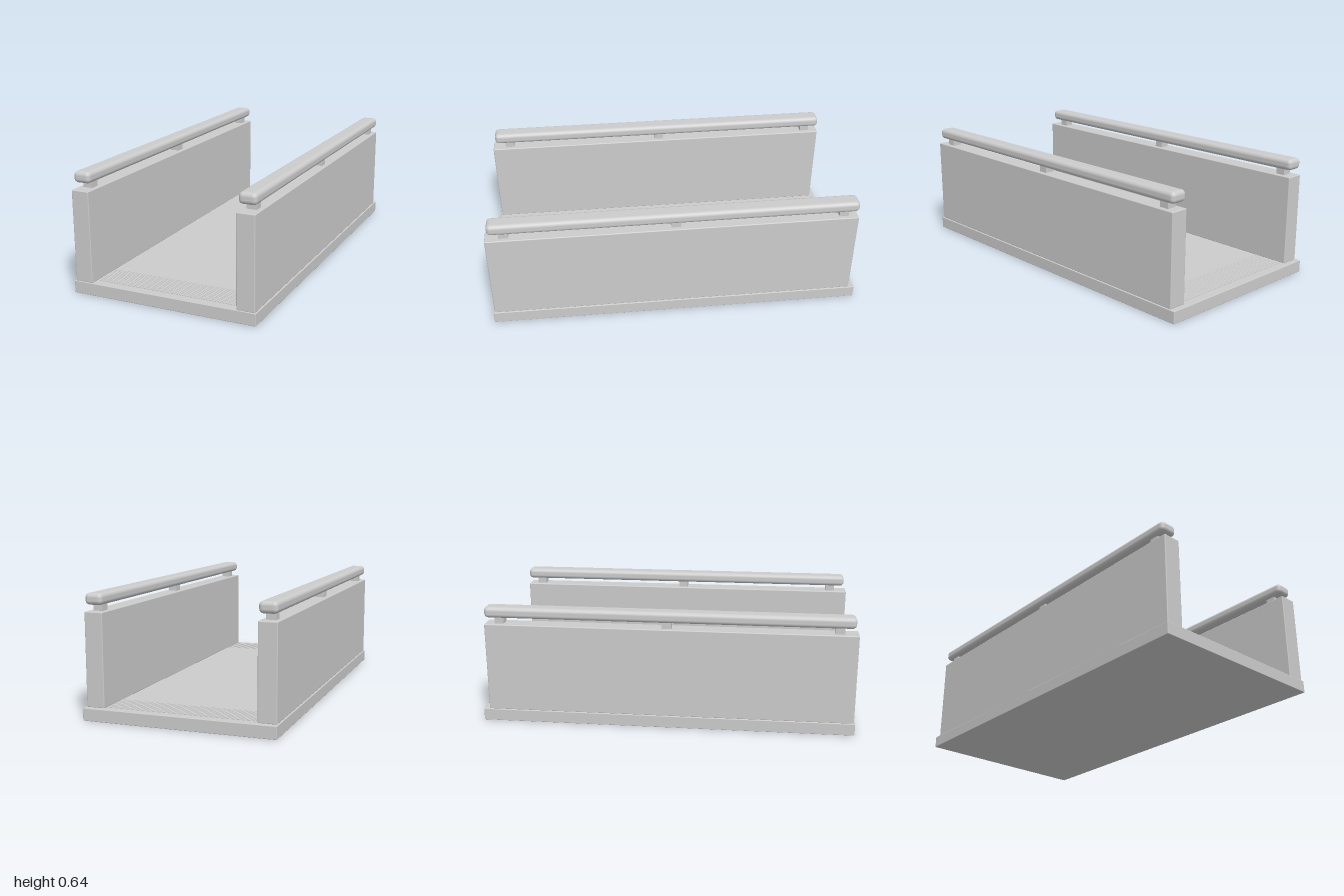
import * as THREE from 'three';
import { RoundedBoxGeometry } from 'three/addons/geometries/RoundedBoxGeometry.js';

export function createModel() {
  const model = new THREE.Group();
  model.name = 'movingWalkway';
  const grey = new THREE.MeshStandardMaterial({ color: 0xcccccc });
  grey.name = 'light grey';

  // Rounded or plain block, placed by its centre
  function block(parent, name, w, h, d, x, y, z, radius = 0, segments = 2) {
    const geometry = radius
      ? new RoundedBoxGeometry(w, h, d, segments, radius)
      : new THREE.BoxGeometry(w, h, d);
    const mesh = new THREE.Mesh(geometry, grey);
    mesh.name = name;
    mesh.position.set(x, y, z);
    parent.add(mesh);
    return mesh;
  }

  // Floor slab and the belt lying on it
  block(model, 'base', 1.01, 0.065, 2, 0, 0.0325, 0, 0.003);
  block(model, 'belt', 0.775, 0.002, 1.9, 0, 0.0655, 0);

  // Fine ridges at both ends of the belt
  for (const end of [-1, 1]) {
    const ridges = new THREE.Group();
    ridges.name = end > 0 ? 'frontRidges' : 'backRidges';
    for (let i = 0; i < 12; i++) {
      block(ridges, 'ridge', 0.775, 0.002, 0.007, 0, 0.0668, end * (0.785 + i * 0.0145));
    }
    model.add(ridges);
  }

  // Side wall, three short posts and a handrail on each side
  for (const side of [-1, 1]) {
    const balustrade = new THREE.Group();
    balustrade.name = side > 0 ? 'leftBalustrade' : 'rightBalustrade';
    const x = side * 0.449;
    block(balustrade, 'wall', 0.097, 0.482, 1.964, x, 0.304, 0.012, 0.005);
    for (const z of [-0.893, 0.003, 0.897]) {
      block(balustrade, 'post', 0.051, 0.05, 0.05, x, 0.565, z);
    }
    block(balustrade, 'handrail', 0.094, 0.059, 1.948, x, 0.6075, 0.004, 0.022, 4);
    model.add(balustrade);
  }
  return model;
}
